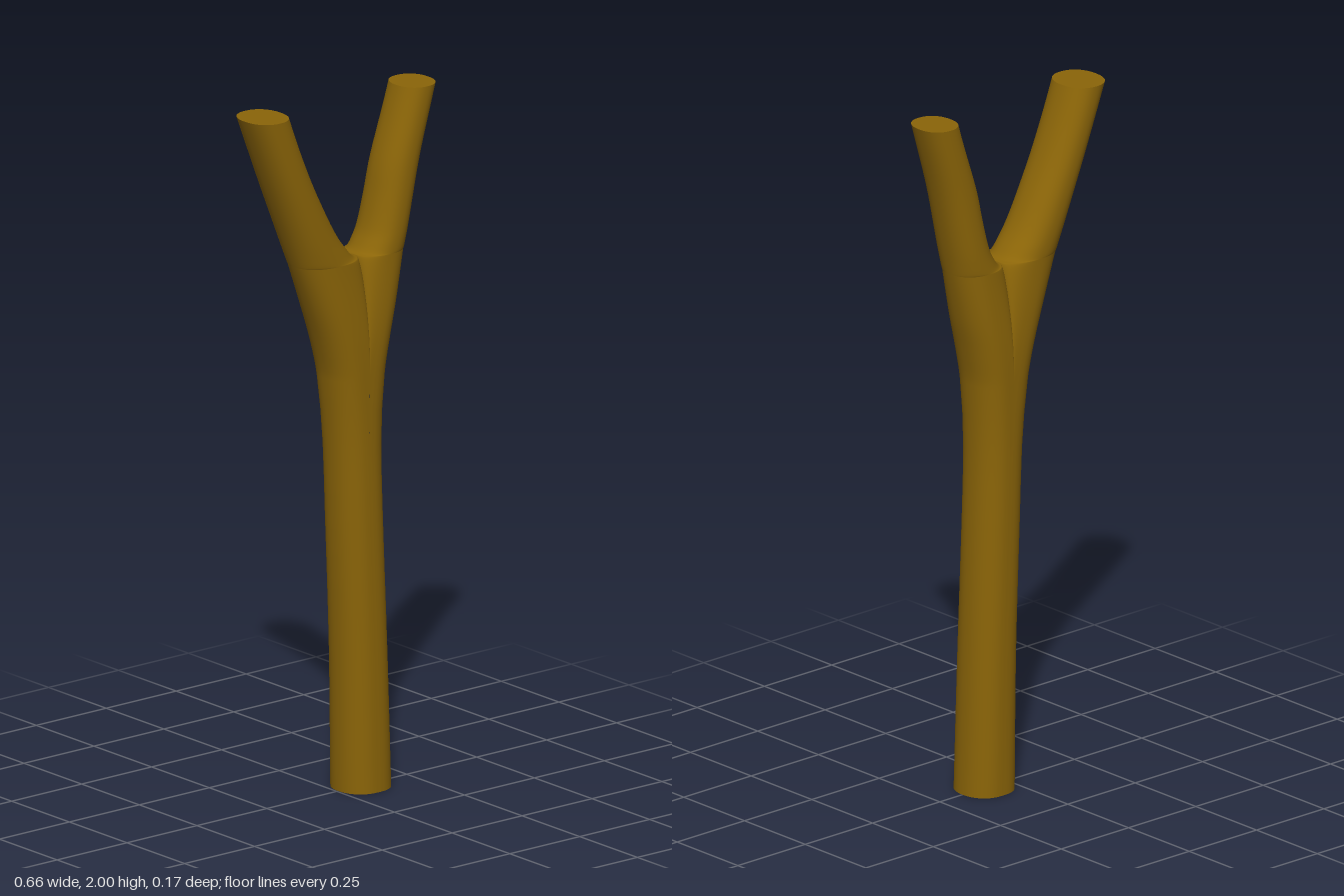
import * as THREE from 'three';
import { mergeVertices } from 'three/addons/utils/BufferGeometryUtils.js';

const CROTCH = 1.545, BLEND = 1.2, STEPS = 14;

// Smooth curve through [position, value] pairs
function curve(keys, t) {
  const n = keys.length - 1;
  let i = 0;
  while (i < n - 1 && t > keys[i + 1][0]) i++;
  const slope = (j) => {
    const a = keys[Math.max(j - 1, 0)], b = keys[Math.min(j + 1, n)];
    return (b[1] - a[1]) / (b[0] - a[0]);
  };
  const [x0, v0] = keys[i], [x1, v1] = keys[i + 1], h = x1 - x0;
  const u = Math.min(Math.max((t - x0) / h, 0), 1), w = 1 - u;
  return v0 * (1 + 2 * u) * w * w + slope(i) * h * u * w * w
    + v1 * u * u * (3 - 2 * u) - slope(i + 1) * h * u * u * w;
}

// Outline by height, fork gap by root of height above the crotch, half depth by height
const SIDES = {
  left: {
    sign: -1,
    outer: [[0, 0.005], [0.4, 0], [0.8, -0.015], [1, -0.023], [1.2, -0.042], [1.3, -0.066], [1.4, -0.1], [1.6, -0.175], [1.8, -0.253], [2, -0.33]],
    gap: [[0, 0], [0.158, 0.035], [0.235, 0.06], [0.394, 0.12], [0.505, 0.17], [0.675, 0.25]],
    depth: [[0, 0.08], [1, 0.078], [1.3, 0.085], [1.55, 0.079], [2, 0.077]],
  },
  right: {
    sign: 1,
    outer: [[0, 0.166], [0.4, 0.152], [0.8, 0.136], [1, 0.131], [1.2, 0.14], [1.3, 0.158], [1.4, 0.182], [1.6, 0.225], [1.8, 0.27], [2, 0.328]],
    gap: [[0, 0], [0.158, 0.028], [0.235, 0.045], [0.394, 0.073], [0.505, 0.096], [0.675, 0.16]],
    depth: [[0, 0.08], [1, 0.078], [1.3, 0.085], [1.55, 0.076], [2, 0.068]],
  },
};

// Half section of the stem below the crotch, whole section of a limb above it
function section(side, y) {
  const outer = curve(side.outer, y), b = curve(side.depth, y);
  const stemMid = (curve(SIDES.left.outer, y) + curve(SIDES.right.outer, y)) / 2;
  const mid = THREE.MathUtils.lerp(stemMid, 0.05, THREE.MathUtils.smoothstep(y, 1, 1.3));
  const m = y > CROTCH ? 0.05 + side.sign * curve(side.gap, Math.sqrt(y - CROTCH)) : mid;
  const c = m + (outer - m) * (0.08 + 0.42 * THREE.MathUtils.smoothstep(y, 1, CROTCH));
  const drop = THREE.MathUtils.clamp((y - BLEND) / (CROTCH - BLEND), 0, 1);
  const seam = b * Math.sqrt(1 - drop * drop);
  const round = (v) => Math.pow(Math.max(v, 0), 0.9);
  const half = [];
  for (let i = 0; i <= 2 * STEPS; i++) {
    const a = (i / STEPS - 1) * Math.PI / 2;
    const s = Math.abs(Math.sin(a)), k = i === 0 || i === 2 * STEPS ? 0 : round(Math.cos(a));
    half.push(i < STEPS
      ? [c + (m - c) * round(s), seam + (b - seam) * k]
      : [c + (outer - c) * round(s), b * k]);
  }
  const back = half.slice(0, -1).reverse().map(([x, z]) => [x, -z]);
  return { points: [...half, ...back], center: (m + outer) / 2, mid: m };
}

function heights() {
  const ys = [];
  for (let i = 0; i < 12; i++) ys.push(BLEND * i / 12);
  for (let i = 0; i < 24; i++) ys.push(BLEND + (CROTCH - BLEND) * Math.sin(i / 24 * Math.PI / 2));
  for (let i = 0; i <= 24; i++) ys.push(CROTCH + (2 - CROTCH) * (i / 24) ** 2);
  return ys;
}

function geometry(positions, index) {
  const g = new THREE.BufferGeometry();
  g.setAttribute('position', new THREE.Float32BufferAttribute(positions, 3));
  g.setIndex(index);
  return g;
}

// Both halves lofted and welded along the seam
function barkGeometry() {
  const positions = [], index = [], ys = heights();
  for (const side of Object.values(SIDES)) {
    const start = positions.length / 3;
    let n = 0;
    for (const y of ys) {
      const { points } = section(side, y);
      n = points.length;
      for (const [x, z] of points) positions.push(x, y, z);
    }
    for (let r = 0; r < ys.length - 1; r++) {
      for (let i = 0; i < n - 1; i++) {
        const a = start + r * n + i, b = a + 1, c = a + n, d = c + 1;
        if (side.sign > 0) index.push(a, b, d, a, d, c);
        else index.push(a, d, b, a, c, d);
      }
    }
  }
  const g = mergeVertices(geometry(positions, index), 1e-5);
  g.computeVertexNormals();
  return g;
}

// Flat cut end as a fan
function cutGeometry(side, y) {
  const { points, center, mid } = section(side, y);
  const positions = [y > 0 ? center : mid, y, 0], index = [];
  for (const [x, z] of points) positions.push(x, y, z);
  const up = (y > 0) === (side.sign > 0);
  for (let i = 1; i < points.length; i++) index.push(0, up ? i : i + 1, up ? i + 1 : i);
  const g = geometry(positions, index);
  g.computeVertexNormals();
  return g;
}

export function createModel() {
  const group = new THREE.Group();
  group.name = 'forkedBranch';
  const wood = new THREE.MeshStandardMaterial({ color: 0x8b6508 });
  const add = (name, g) => {
    const mesh = new THREE.Mesh(g, wood);
    mesh.name = name;
    group.add(mesh);
  };
  add('stemAndLimbs', barkGeometry());
  // Cut ends of the stem and the two limbs
  for (const [name, side] of Object.entries(SIDES)) {
    const model = name === 'left' ? 'right' : 'left';
    add(`${model}LimbCut`, cutGeometry(side, 2));
    add(`${model}HalfOfStemCut`, cutGeometry(side, 0));
  }
  return group;
}
